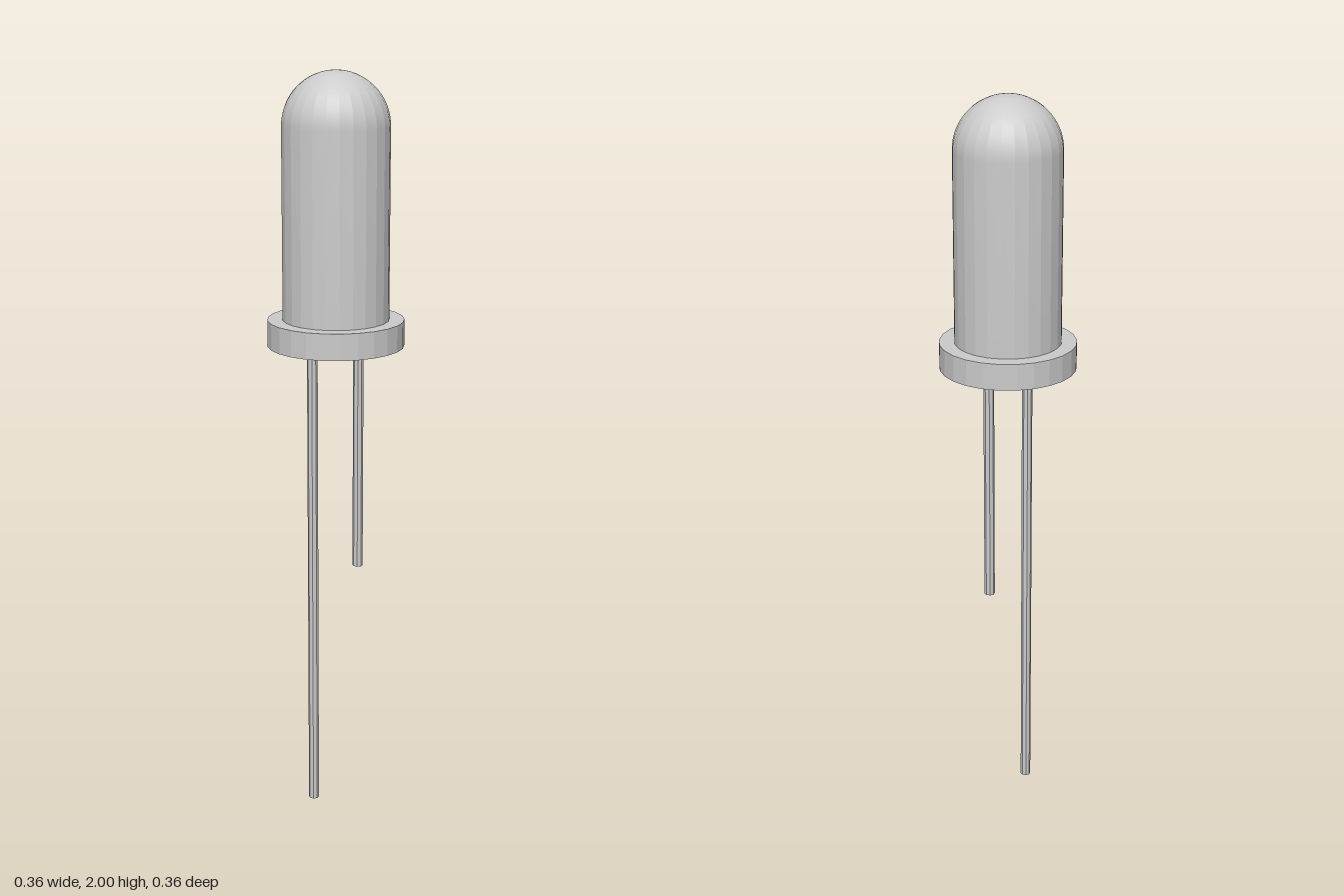
import * as THREE from 'three';
import { toCreasedNormals } from 'three/addons/utils/BufferGeometryUtils.js';

const SIDES = 25;
const BODY_R = 0.14, FLANGE_R = 0.18;
const FLANGE_BOTTOM = 1.29, FLANGE_TOP = 1.36, DOME_START = 1.86;

export function createModel() {
  const group = new THREE.Group();
  const material = new THREE.MeshStandardMaterial({ color: 0xcccccc });

  const add = (name, geometry, crease) => {
    const mesh = new THREE.Mesh(toCreasedNormals(geometry, crease), material);
    mesh.name = name;
    group.add(mesh);
    return mesh;
  };

  // Lens: faceted barrel running into a hemispherical dome
  const profile = [new THREE.Vector2(BODY_R, FLANGE_TOP)];
  const steps = 16;
  for (let i = 0; i < steps; i++) {
    const a = (i / steps) * Math.PI / 2;
    profile.push(new THREE.Vector2(BODY_R * Math.cos(a), DOME_START + BODY_R * Math.sin(a)));
  }
  profile.push(new THREE.Vector2(0, DOME_START + BODY_R));
  add('lens', new THREE.LatheGeometry(profile, SIDES, Math.PI), 0.2);

  // Flange: flat rim at the base of the lens
  const flange = new THREE.CylinderGeometry(
    FLANGE_R, FLANGE_R, FLANGE_TOP - FLANGE_BOTTOM, SIDES, 1, false, Math.PI);
  add('flange', flange, 0.2).position.y = (FLANGE_TOP + FLANGE_BOTTOM) / 2;

  // Leads: a long one on the right and a short one on the left
  const lead = (name, x, bottom) => {
    const length = FLANGE_BOTTOM - bottom;
    const geometry = new THREE.CylinderGeometry(0.014, 0.014, length, 8);
    add(name, geometry, 0.2).position.set(x, bottom + length / 2, 0);
  };
  lead('longLead', -0.08, 0);
  lead('shortLead', 0.078, 0.655);

  return group;
}
